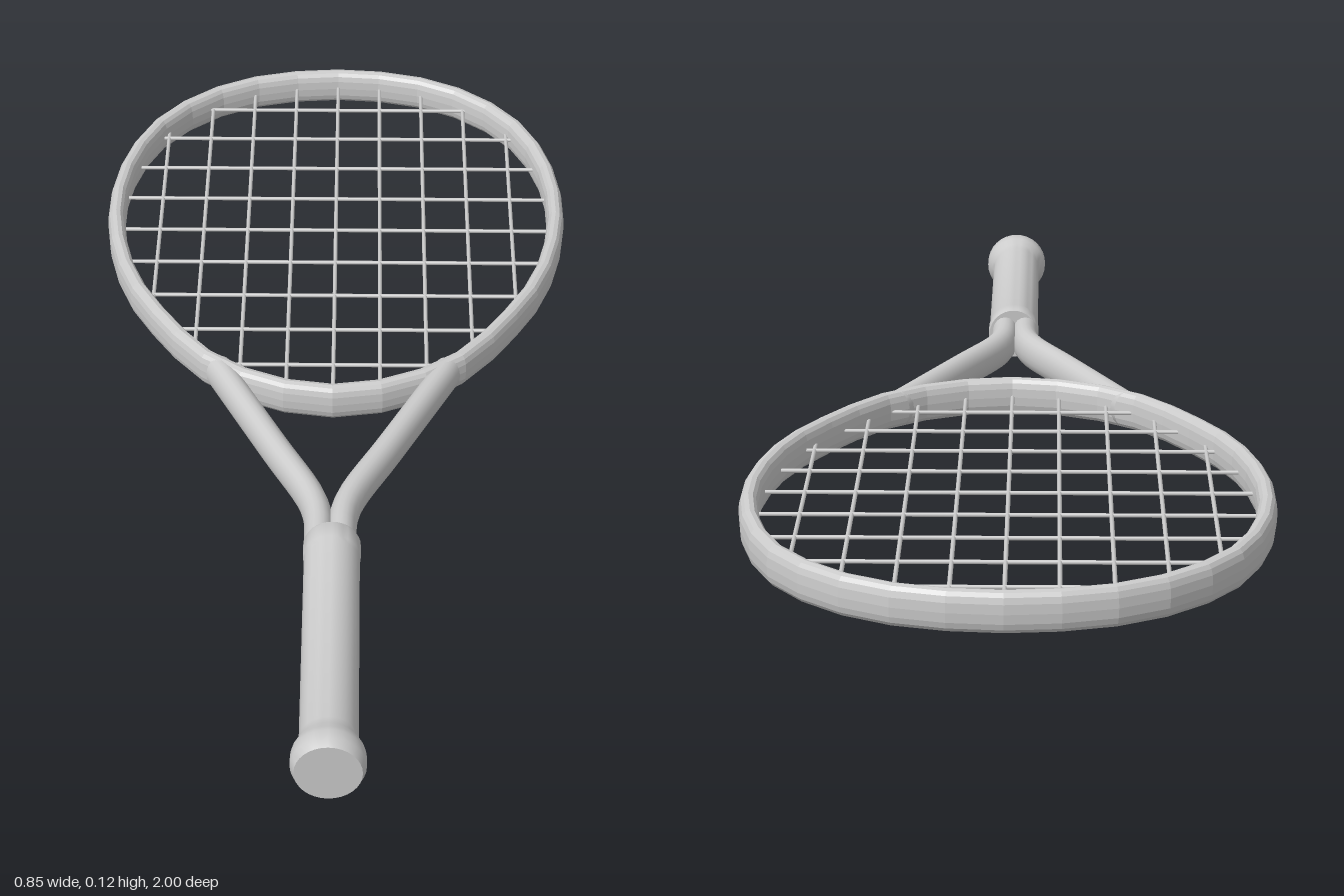
import * as THREE from 'three';
import { toCreasedNormals } from 'three/addons/utils/BufferGeometryUtils.js';

const MID = 0.061; // height of the racket's middle plane
const smooth = new THREE.MeshStandardMaterial({ color: 0xcccccc });
const faceted = new THREE.MeshStandardMaterial({ color: 0xcccccc, flatShading: true });

// Sweep a superellipse section along a curve lying in the horizontal plane
function sweep(curve, steps, sides, halfW, halfH, power, closed) {
  const pos = [], idx = [];
  const bend = (v) => Math.sign(v) * Math.pow(Math.abs(v), 2 / power);
  const rings = closed ? steps : steps + 1;
  for (let i = 0; i < rings; i++) {
    const p = curve.getPointAt(i / steps), t = curve.getTangentAt(i / steps);
    for (let j = 0; j < sides; j++) {
      const a = (j / sides) * Math.PI * 2;
      const w = halfW * bend(Math.cos(a)), h = halfH * bend(Math.sin(a));
      pos.push(p.x + t.z * w, p.y + h, p.z - t.x * w);
    }
  }
  for (let i = 0; i < steps; i++) {
    for (let j = 0; j < sides; j++) {
      const k = (j + 1) % sides, n = ((i + 1) % rings) * sides, m = i * sides;
      idx.push(m + j, m + k, n + j, m + k, n + k, n + j);
    }
  }
  const g = new THREE.BufferGeometry();
  g.setAttribute('position', new THREE.Float32BufferAttribute(pos, 3));
  g.setIndex(idx);
  g.computeVertexNormals();
  return g;
}

const at = (x, z) => new THREE.Vector3(x, MID, z);

export function createModel() {
  const model = new THREE.Group();
  const add = (name, geometry, material = smooth, parent = model) => {
    const mesh = new THREE.Mesh(geometry, material);
    mesh.name = name;
    parent.add(mesh);
    return mesh;
  };

  // Egg-shaped hoop, mirrored from one half of its centreline
  const side = [[0.19, -0.944], [0.318, -0.838], [0.385, -0.7], [0.411, -0.5],
    [0.375, -0.29], [0.302, -0.14], [0.217, -0.022], [0.115, 0.046]];
  const outline = [at(0, -0.984), ...side.map(([x, z]) => at(x, z)), at(0, 0.072),
    ...side.slice().reverse().map(([x, z]) => at(-x, z))];
  const hoopCurve = new THREE.CatmullRomCurve3(outline, true, 'centripetal');
  add('hoop', sweep(hoopCurve, 36, 16, 0.016, 0.033, 2.5, true), faceted);

  // Strings, each spanning between its two crossings of the hoop
  const strings = new THREE.Group();
  strings.name = 'strings';
  model.add(strings);
  const samples = hoopCurve.getSpacedPoints(300);
  function addString(name, axis, value) {
    const ends = [];
    for (let i = 0; i < 300; i++) {
      const a = samples[i], b = samples[i + 1];
      if ((a[axis] < value) !== (b[axis] < value)) {
        ends.push(a.clone().lerp(b, (value - a[axis]) / (b[axis] - a[axis])));
      }
    }
    const g = new THREE.CylinderGeometry(0.0036, 0.0036, ends[0].distanceTo(ends[1]), 8);
    const mesh = add(name, g, smooth, strings);
    mesh.position.copy(ends[0]).lerp(ends[1], 0.5);
    mesh.quaternion.setFromUnitVectors(new THREE.Vector3(0, 1, 0), ends[1].sub(ends[0]).normalize());
  }
  for (let i = -4; i <= 4; i++) {
    addString('mainString', 'x', i * 0.082 + 1e-4);
    addString('crossString', 'z', -0.459 + i * 0.1066);
  }

  // Two throat arms running from the hoop into the handle
  for (const s of [1, -1]) {
    const path = new THREE.CatmullRomCurve3([at(s * 0.2, -0.012), at(s * 0.148, 0.1),
      at(s * 0.092, 0.22), at(s * 0.035, 0.34), at(s * 0.021, 0.395), at(s * 0.019, 0.5)],
    false, 'centripetal');
    add(s > 0 ? 'leftThroatArm' : 'rightThroatArm', sweep(path, 20, 20, 0.024, 0.032, 2.1, false));
  }

  // Turned handle with a slight collar at the throat and a flared butt
  const profile = [[0, 0.46], [0.045, 0.46], [0.047, 0.465], [0.047, 0.497], [0.0455, 0.505],
    [0.0455, 0.925], [0.049, 0.942], [0.056, 0.957], [0.058, 0.967], [0.058, 0.985],
    [0.052, 1], [0, 1]].map(([r, z]) => new THREE.Vector2(r, z));
  const handle = new THREE.LatheGeometry(profile, 32).rotateX(Math.PI / 2).translate(0.003, MID, 0);
  add('handle', toCreasedNormals(handle, 0.6));

  return model;
}
